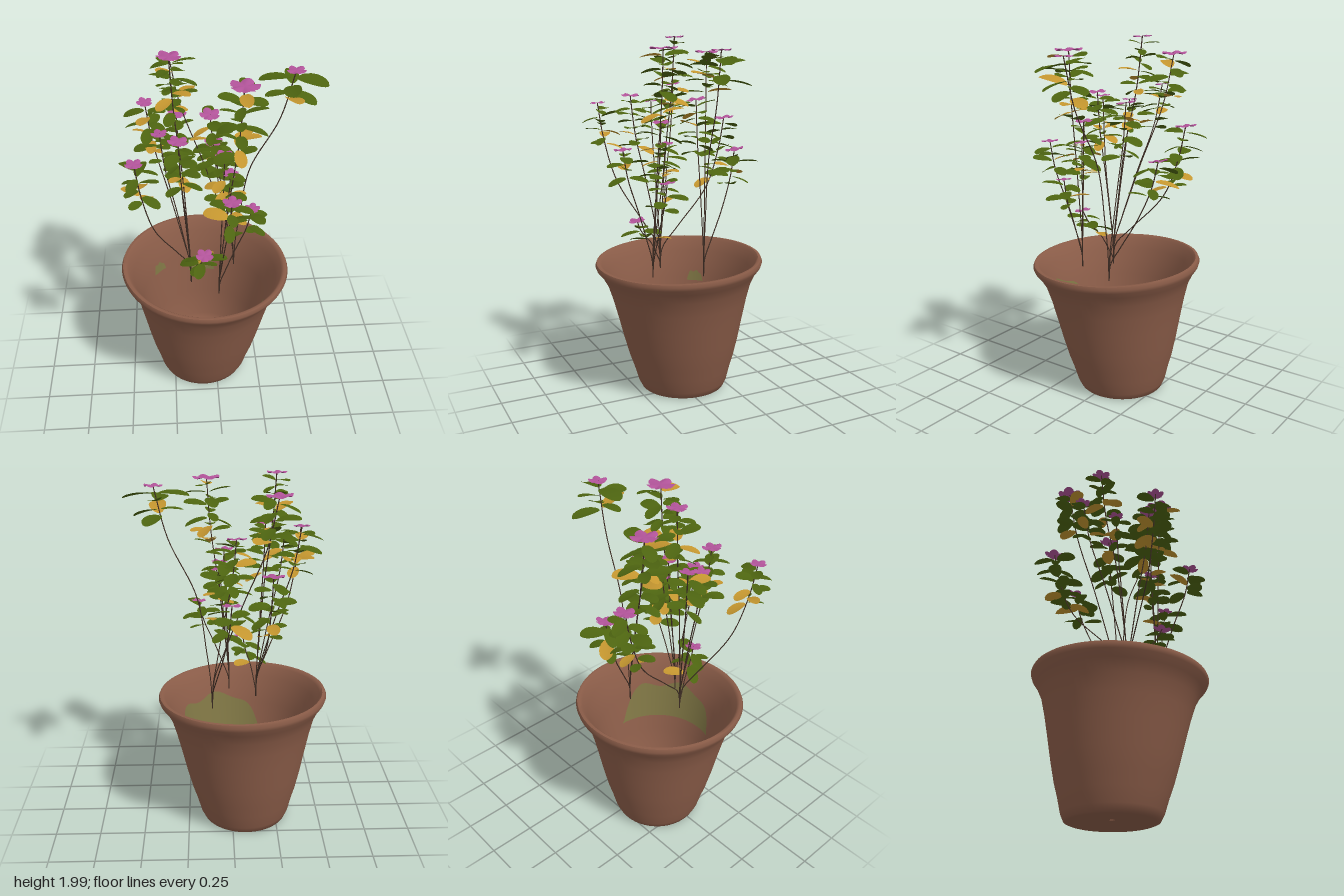
import * as THREE from 'three';
import { mergeGeometries, toCreasedNormals } from 'three/addons/utils/BufferGeometryUtils.js';

const mat = (name, color, side = THREE.FrontSide) => {
  const m = new THREE.MeshStandardMaterial({ color, side });
  m.name = name;
  return m;
};

// Small seeded generator for natural variation
let seed = 11;
const rnd = () => {
  seed = (seed * 16807) % 2147483647;
  return seed / 2147483647;
};

// Apply a rule to every vertex
function bend(geo, rule) {
  const p = geo.attributes.position, v = new THREE.Vector3();
  for (let i = 0; i < p.count; i++) {
    rule(v.fromBufferAttribute(p, i));
    p.setXYZ(i, v.x, v.y, v.z);
  }
  geo.computeVertexNormals();
  return geo;
}

// The pot leans slightly: its rim is tilted and shifted against the base
const lean = (v) => {
  const t = v.y / 0.77;
  v.y = Math.max(0, v.y - 0.04 * t * t * (0.6 * v.x + v.z));
  v.x += -0.075 + 0.017 * t;
  v.z += -0.03 + 0.033 * t;
};

// Rounded oval leaf along +z on a short stalk, slightly folded, tip drooping
function leafGeometry(len, width) {
  const g = new THREE.PlaneGeometry(1, 1, 2, 9).rotateX(-Math.PI / 2);
  return bend(g, (v) => {
    const u = (1 - Math.cos(Math.PI * (v.z + 0.5))) / 2;
    const w = Math.sqrt(Math.max(0, 1 - (2 * u - 1) ** 2)) * (0.82 + 0.25 * u) + 0.02;
    const t = 0.08 + 0.92 * u, side = v.x * 2;
    v.set(side * w * width / 2, Math.abs(side) * w * width * 0.08 + len * (0.12 * t - 0.18 * t * t), t * len);
  });
}

// Five-lobed open flower
function flowerGeometry(r) {
  const g = new THREE.CircleGeometry(1, 40).rotateX(-Math.PI / 2);
  return bend(g, (v) => {
    const a = Math.atan2(v.z, v.x), d = Math.hypot(v.x, v.z);
    const s = r * (0.74 + 0.3 * Math.sqrt(Math.abs(Math.cos(2.5 * a))));
    v.set(v.x * s, d * r * 0.09 * Math.cos(5 * a), v.z * s);
  });
}

// Ragged moss film just inside the wall, from angle start over sweep, between two heights
function mossGeometry(start, sweep, low, high) {
  const wall = (y) => 0.291 + (y - 0.31) * 0.221;
  const film = [0, 0.33, 0.67, 1].map((t) => low + t * (high - low)).map((y) => new THREE.Vector2(wall(y), y));
  return bend(new THREE.LatheGeometry(film, 36, start, sweep), (v) => {
    const phi = (Math.atan2(v.x, v.z) - start + 4 * Math.PI) % (2 * Math.PI);
    const off = phi > sweep + 0.1 ? -1 : 2 * phi / sweep - 1;
    const t = (v.y - low) / (high - low);
    const drop = t * (high - low) * Math.min(1, off ** 4 + 0.08 + 0.08 * Math.sin(9 * off));
    const s = wall(v.y - drop) / wall(v.y);
    v.set(v.x * s, v.y - drop, v.z * s);
    lean(v);
  });
}

// Stem roots in the pot
const roots = [[0.11, 0.7, -0.07], [-0.14, 0.7, 0.08], [0.01, 0.7, 0.19]];

// Shoots: tip x, y, z, flower radius, leaf length, leafy height, root, sideways share at mid height, leaf turn
const shoots = [
  [-0.22, 1.99, -0.05, 0.05, 0.105, 0.28, 1, 0.4, 0.8],
  [-0.22, 1.91, -0.25, 0.065, 0.14, 0.23, 0, 0.5, 1.2],
  [0.13, 1.93, 0.175, 0.072, 0.13, 0.36, 2, 0.5, 0],
  [0.40, 1.92, -0.01, 0.048, 0.16, 0.15, 0, 0.27, 1.5],
  [-0.35, 1.73, -0.10, 0.04, 0.115, 0.24, 1, 0.5, 1.2],
  [-0.19, 1.68, 0.23, 0.05, 0.115, 0.28, 1, 0.5, 0.7],
  [-0.02, 1.66, -0.085, 0.052, 0.125, 0.28, 0, 0.5, 0],
  [-0.28, 1.64, 0.07, 0.04, 0.09, 0.15, 1, 0.5, 0.6],
  [-0.40, 1.63, 0.345, 0.042, 0.115, 0.23, 1, 0.7, 1.1],
  [-0.19, 1.54, -0.35, 0.055, 0.12, 0.34, 1, 0.72, 0.3],
  [0.04, 1.55, 0.15, 0.048, 0.125, 0.28, 2, 0.5, 1.4],
  [0.07, 1.44, 0.14, 0.04, 0.115, 0.22, 2, 0.5, 0.6],
  [0.06, 1.42, 0.375, 0.046, 0.13, 0.15, 2, 0.5, 1.4],
  [0.01, 1.38, -0.31, 0.05, 0.135, 0.19, 0, 0.6, 0.9],
  [0.18, 1.25, 0.18, 0.04, 0.12, 0.15, 2, 0.5, 0.5],
  [-0.07, 1.01, 0.25, 0.046, 0.12, 0.13, 1, 0.4, 1.2],
];

export function createModel() {
  const model = new THREE.Group();
  model.name = 'pottedFloweringPlant';
  const clay = mat('clay', 0x8a5c48, THREE.DoubleSide);
  const moss = mat('moss', 0x7d7443, THREE.DoubleSide);
  const bark = mat('bark', 0x3f2e25);
  const green = mat('leafGreen', 0x4d6410, THREE.DoubleSide);
  const yellow = mat('leafYellow', 0xc4962f, THREE.DoubleSide);
  const pink = mat('petalPink', 0xb2549a, THREE.DoubleSide);
  const add = (parent, name, geo, material) => {
    const m = new THREE.Mesh(geo, material);
    m.name = name;
    parent.add(m);
  };

  // Pot with flared lip, hollow inside and a drain hole
  const profile = [
    [0.014, 0.022], [0.18, 0.014], [0.225, 0.008], [0.24, 0.014], [0.257, 0.05], [0.278, 0.13], [0.3, 0.2],
    [0.327, 0.31], [0.355, 0.44], [0.38, 0.55], [0.405, 0.64], [0.435, 0.7], [0.462, 0.735],
    [0.469, 0.755], [0.462, 0.772], [0.447, 0.774], [0.432, 0.76], [0.405, 0.7], [0.378, 0.64],
    [0.35, 0.55], [0.297, 0.31], [0.255, 0.15], [0.235, 0.11], [0.2, 0.095], [0.014, 0.09], [0.014, 0.022],
  ].map(([r, y]) => new THREE.Vector2(r, y));
  add(model, 'pot', toCreasedNormals(bend(new THREE.LatheGeometry(profile, 72), lean), 0.9), clay);

  // One broad moss film and two small patches on the inner wall
  [[-0.35, 1.95, 0.4, 0.63], [2.9, 0.5, 0.46, 0.56], [3.85, 0.3, 0.53, 0.59]].forEach((m) => {
    add(model, 'mossFilm', mossGeometry(...m), moss);
  });

  const up = new THREE.Vector3(0, 1, 0);
  shoots.forEach(([x, y, z, fr, len, span, root, share, turn]) => {
    const shoot = new THREE.Group();
    shoot.name = 'floweringShoot';
    model.add(shoot);
    const base = new THREE.Vector3(...roots[root]), tip = new THREE.Vector3(x, y, z);

    // Stem: leaves the shared root upright, bows outward, then stands upright below the flower
    const at = (h, s) => new THREE.Vector3().lerpVectors(base, tip, s).setY(base.y + (y - base.y) * h);
    const curve = new THREE.CatmullRomCurve3([
      base, at(0.14, 0.03), at(0.28, share * 0.38), at(0.53, share), at(0.78, share + (1 - share) * 0.68), tip,
    ]);
    add(shoot, 'stem', new THREE.TubeGeometry(curve, 28, 0.003, 6), bark);

    // Opposite leaf pairs, each turned a quarter from the last; some older lower ones are yellow
    const fresh = [], old = [];
    const pairs = Math.max(3, Math.round(span / 0.036));
    for (let i = 0; i < pairs; i++) {
      const f = i / (pairs - 1);
      const h = y - 0.035 - f * (span - 0.04);
      const p = curve.getPoint(1);
      for (let t = 1; t > 0; t -= 0.01) if (curve.getPoint(t, p).y <= h) break;
      for (let k = 0; k < 2; k++) {
        const l = len * (0.75 + 0.35 * rnd());
        const g = leafGeometry(l, l * (0.52 + 0.1 * rnd()));
        g.rotateZ(0.7 * (rnd() - 0.5));
        g.rotateX(0.7 * (rnd() - 0.5));
        g.rotateY(turn + i * Math.PI / 2 + k * Math.PI + 0.7 * (rnd() - 0.5));
        g.translate(p.x, p.y, p.z);
        (rnd() < 0.02 + 0.34 * f ? old : fresh).push(g);
      }
    }
    add(shoot, 'greenLeaves', mergeGeometries(fresh), green);
    if (old.length) add(shoot, 'yellowLeaves', mergeGeometries(old), yellow);

    // Flower on the tip
    const q = new THREE.Quaternion().setFromUnitVectors(up, new THREE.Vector3(0.2 * (rnd() - 0.5), 1, 0.2 * rnd()).normalize());
    const flower = flowerGeometry(fr).rotateY(rnd() * 6).applyQuaternion(q).translate(x, y, z);
    add(shoot, 'flower', flower, pink);
  });
  return model;
}
